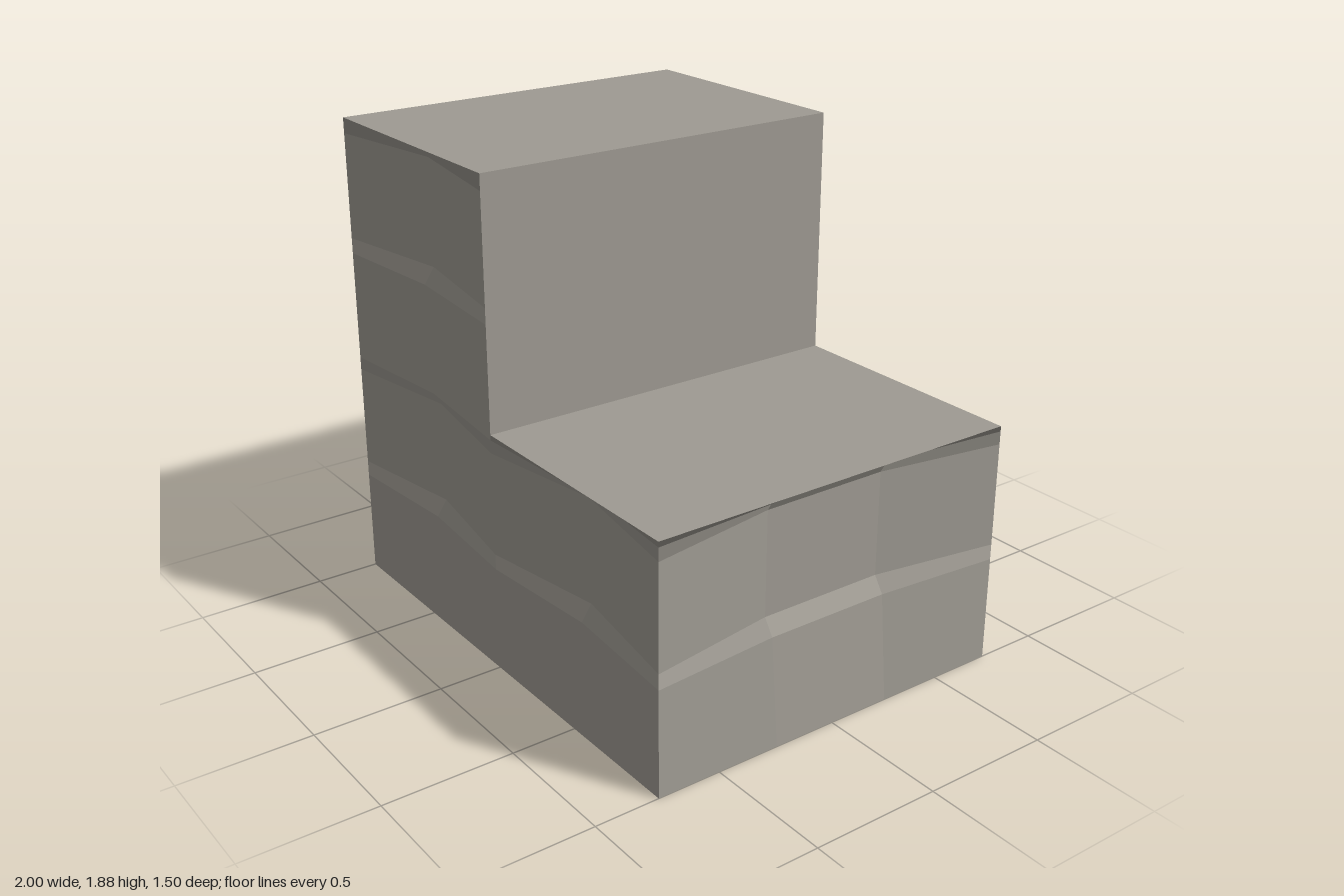
import * as THREE from 'three';

// Rock face between columns [x, weight] and rows [y, recess], looking along +z
function rockFace(cols, rows, base) {
  const pos = [], nor = [];
  const at = (c, r) => new THREE.Vector3(c[0], r[0], base - c[1] * r[1]);
  for (let i = 0; i < cols.length - 1; i++) {
    for (let j = 0; j < rows.length - 1; j++) {
      const a = at(cols[i], rows[j]), b = at(cols[i + 1], rows[j]);
      const c = at(cols[i + 1], rows[j + 1]), d = at(cols[i], rows[j + 1]);
      // one facet normal for the whole quad
      const n = c.clone().sub(a).cross(d.clone().sub(b)).normalize();
      for (const p of [a, b, c, a, c, d]) {
        pos.push(p.x, p.y, p.z);
        nor.push(n.x, n.y, n.z);
      }
    }
  }
  const g = new THREE.BufferGeometry();
  g.setAttribute('position', new THREE.Float32BufferAttribute(pos, 3));
  g.setAttribute('normal', new THREE.Float32BufferAttribute(nor, 3));
  return g;
}

export function createModel() {
  const group = new THREE.Group();
  const stone = new THREE.MeshStandardMaterial({ color: 0x9e9a92 });
  stone.name = 'stone';
  const LOW = 0.94, HIGH = 1.88, D = 0.75;

  const add = (name, geometry, x = 0, y = 0, z = 0, rx = 0, ry = 0) => {
    const m = new THREE.Mesh(geometry, stone);
    m.name = name;
    m.position.set(x, y, z);
    m.rotation.set(rx, ry, 0);
    group.add(m);
    return m;
  };
  const plane = (w, h) => new THREE.PlaneGeometry(w, h);

  // Weathered strata: ledge, wall, overhang, then the lip at the top
  const strata = [[0, 0], [0.41, 0.04], [0.47, 0.08], [0.87, 0.08], [0.92, 0.05]];
  const lowRows = [...strata, [LOW, 0]];
  const highRows = [...strata, [1.35, 0.04], [1.41, 0.08], [1.82, 0.08], [HIGH, 0]];
  add('tallFrontCliff', rockFace([[-1, 0], [-0.5, 1], [0, 0]], highRows, D));
  add('lowFrontCliff', rockFace([[0, 0], [0.5, 1], [1, 0]], lowRows, D));
  add('lowSideCliff', rockFace([[-D, 0], [-0.25, 1], [0.25, 1], [D, 0]], lowRows, 1), 0, 0, 0, 0, Math.PI / 2);

  // Flat tops, base and plain walls
  add('tallTop', plane(1, 2 * D), -0.5, HIGH, 0, -Math.PI / 2);
  add('lowTop', plane(1, 2 * D), 0.5, LOW, 0, -Math.PI / 2);
  add('base', plane(2, 2 * D), 0, 0, 0, Math.PI / 2);
  add('stepWall', plane(2 * D, HIGH - LOW), 0, (LOW + HIGH) / 2, 0, 0, Math.PI / 2);
  add('tallSideWall', plane(2 * D, HIGH), -1, HIGH / 2, 0, 0, -Math.PI / 2);

  // Back wall with two square sockets
  const back = new THREE.Shape([[-1, 0], [1, 0], [1, HIGH], [0, HIGH], [0, LOW], [-1, LOW]]
    .map(([x, y]) => new THREE.Vector2(x, y)));
  const size = 0.08, midY = 0.53, depth = 0.06, h = size / 2;
  for (const x of [-0.5, 0.5]) {
    back.holes.push(new THREE.Path([[-h, -h], [-h, h], [h, h], [h, -h]]
      .map(([u, v]) => new THREE.Vector2(x + u, midY + v))));

    // Socket: inward-facing box without its outer side
    const box = new THREE.BoxGeometry(size, size, depth).toNonIndexed();
    const inner = new THREE.BufferGeometry();
    const p = Array.from(box.attributes.position.array).slice(0, 90); // drops the -z side
    for (let i = 0; i < p.length; i += 9) {
      for (let k = 0; k < 3; k++) [p[i + k], p[i + 3 + k]] = [p[i + 3 + k], p[i + k]];
    }
    inner.setAttribute('position', new THREE.Float32BufferAttribute(p, 3));
    inner.computeVertexNormals();
    add('backSocket', inner, x, midY, -D + depth / 2);
  }
  add('backWall', new THREE.ShapeGeometry(back), 0, 0, -D, 0, Math.PI);

  return group;
}
